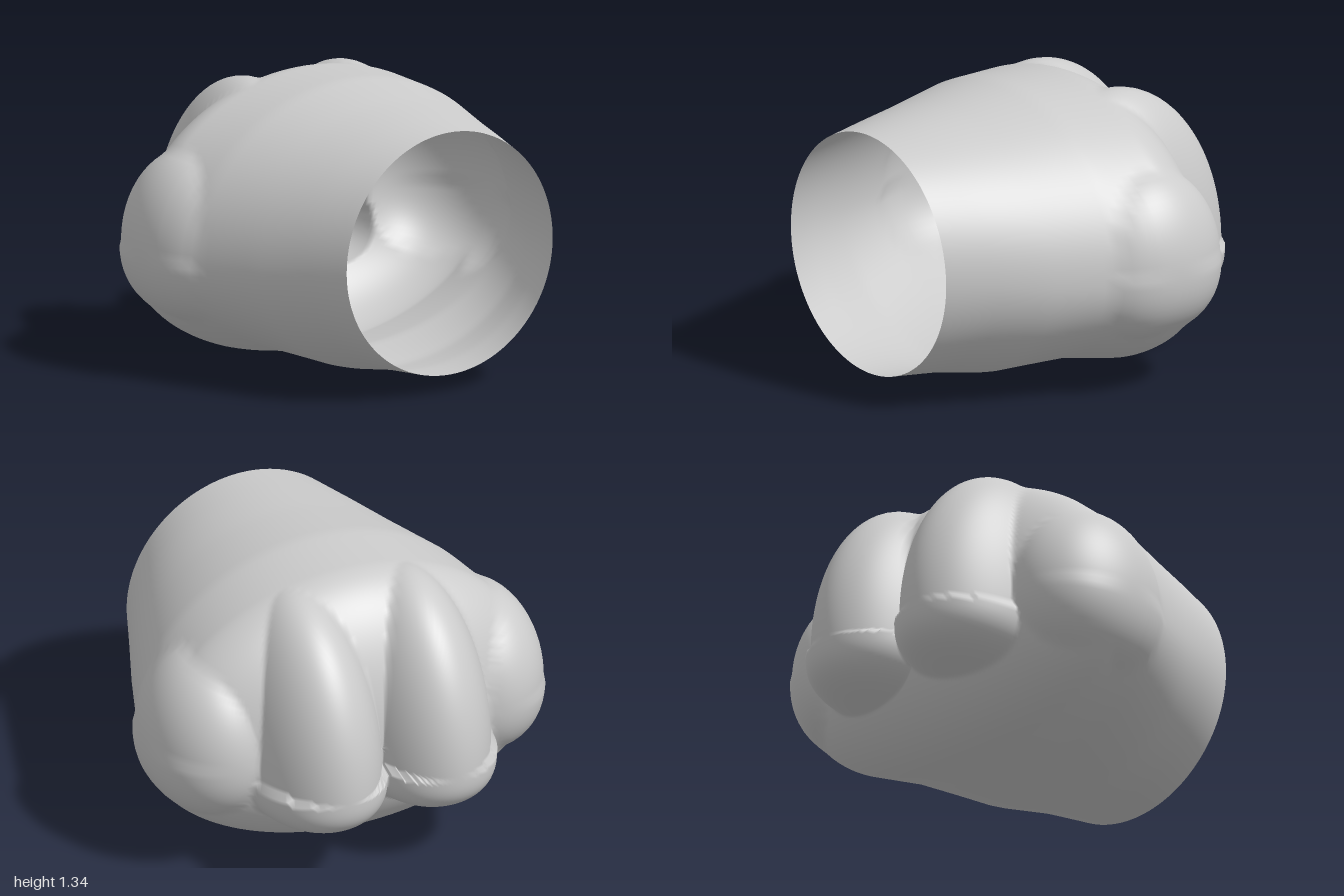
import * as THREE from 'three';

// Wrist and palm outline along x: [x, half width, top, bottom, height of widest point]
const STATIONS = [
  [-0.2, 0.98, 1.34, 0.0, 0.55],
  [0.1, 0.91, 1.345, 0.055, 0.57],
  [0.44, 0.78, 1.3, 0.035, 0.6],
  [0.68, 0.68, 1.275, 0.075, 0.64],
  [0.9, 0.59, 1.25, 0.09, 0.66],
];

// Toes, mirrored in z: centre, radii (x, up, z), radius downwards, roundness of the underside
const TOES = [
  { c: [-0.3, 0.5, 0.28], r: [0.6, 0.81, 0.34], down: 0.26, power: 3 },
  { c: [-0.17, 0.6, 0.68], r: [0.4, 0.46, 0.32], down: 0.36, power: 2.3 },
];

function station(x) {
  let i = 0;
  while (i < STATIONS.length - 2 && x > STATIONS[i + 1][0]) i++;
  const a = STATIONS[i], b = STATIONS[i + 1];
  const t = THREE.MathUtils.clamp((x - a[0]) / (b[0] - a[0]), 0, 1);
  return a.map((v, k) => v + (b[k] - v) * t);
}

function inPalm(x, y, z) {
  const [, w, top, bottom, mid] = station(x);
  const h = y > mid ? top - mid : mid - bottom;
  const front = x < -0.2 ? (x + 0.2) / 0.45 : 0; // rounded end behind the toes
  return (z / w) ** 2 + ((y - mid) / h) ** 2 + front ** 2 < 1;
}

function inToe({ c, r, down, power }, x, y, z) {
  const dy = y - c[1];
  const p = dy < 0 ? power : 2;
  const h = dy < 0 ? down : r[1];
  return Math.abs((x - c[0]) / r[0]) ** p + Math.abs(dy / h) ** p
    + Math.abs((Math.abs(z) - c[2]) / r[2]) ** 2 < 1;
}

const inside = (x, y, z) => inPalm(x, y, z) || TOES.some((t) => inToe(t, x, y, z));

// Outermost skin point from origin o in direction d
function skinPoint(o, d) {
  const hit = (t) => inside(o.x + d.x * t, o.y + d.y * t, o.z + d.z * t);
  let hi = 1.4;
  while (hi > 0.05 && !hit(hi - 0.01)) hi -= 0.01;
  let lo = hi - 0.01;
  for (let k = 0; k < 12; k++) {
    const m = (lo + hi) / 2;
    if (hit(m)) lo = m; else hi = m;
  }
  return o.clone().addScaledVector(d, lo);
}

// One continuous open skin: rings along the wrist, then a fan of rays over the toes
function skinGeometry() {
  const START = 0.9, HUB = -0.05, WRIST_ROWS = 24, TOE_ROWS = 84, SIDES = 168;
  const rows = WRIST_ROWS + TOE_ROWS;
  const positions = [], index = [];
  for (let i = 0; i <= rows; i++) {
    const s = Math.min(i / WRIST_ROWS, 1);
    const bend = Math.max(0, i - WRIST_ROWS) / TOE_ROWS * Math.PI / 2;
    const origin = new THREE.Vector3(START + (HUB - START) * s, 0.6, 0);
    for (let j = 0; j < SIDES; j++) {
      const a = j / SIDES * Math.PI * 2;
      const dir = new THREE.Vector3(-Math.sin(bend), Math.cos(bend) * Math.cos(a), Math.cos(bend) * Math.sin(a));
      positions.push(...skinPoint(origin, dir).toArray());
      if (i === rows) continue;
      const n = (j + 1) % SIDES;
      const p = i * SIDES + j, q = i * SIDES + n;
      index.push(p, p + SIDES, q, q, p + SIDES, q + SIDES);
    }
  }
  const geo = new THREE.BufferGeometry();
  geo.setAttribute('position', new THREE.Float32BufferAttribute(positions, 3));
  geo.setIndex(index);
  geo.computeVertexNormals();
  return geo;
}

export function createModel() {
  const group = new THREE.Group();
  group.name = 'paw';
  const material = new THREE.MeshStandardMaterial({ color: 0xcccccc, side: THREE.DoubleSide });
  const skin = new THREE.Mesh(skinGeometry(), material);
  skin.name = 'pawSkin';
  group.add(skin);
  return group;
}
